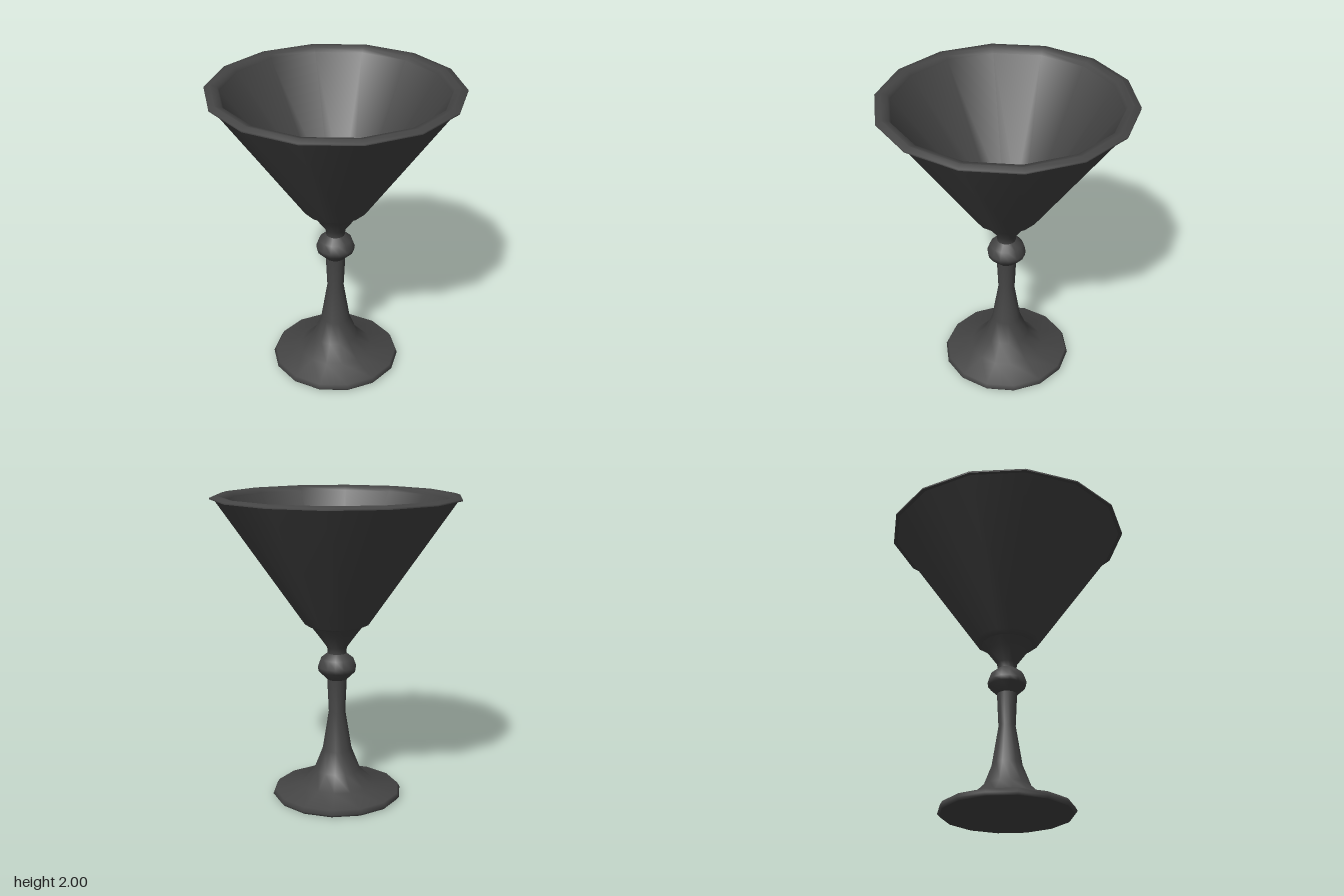
import * as THREE from 'three';

const SIDES = 14;

export function createModel() {
  const group = new THREE.Group();
  const material = new THREE.MeshStandardMaterial({ color: 0x444444 });

  // Each part is a turned profile of [radius, height] points; separate parts keep the edges between them sharp.
  const turn = (name, profile) => {
    const points = profile.map(([r, y]) => new THREE.Vector2(r, y));
    const mesh = new THREE.Mesh(new THREE.LatheGeometry(points, SIDES), material);
    mesh.name = name;
    group.add(mesh);
  };

  // Foot underside
  turn('footBase', [[0, 0], [0.415, 0]]);

  // Foot sweeping up into the stem
  turn('footAndStem', [
    [0.415, 0], [0.43, 0.018], [0.415, 0.045], [0.245, 0.088], [0.152, 0.18],
    [0.097, 0.32], [0.055, 0.58], [0.065, 0.8],
  ]);

  // Ball in the stem
  turn('stemBall', [
    [0.065, 0.8], [0.122, 0.855], [0.127, 0.885], [0.108, 0.938], [0.062, 0.975],
  ]);

  // Flare under the bowl
  turn('bowlNeck', [
    [0.062, 0.975], [0.065, 1.015], [0.13, 1.105], [0.168, 1.153],
  ]);

  // Bowl outside
  turn('bowlOutside', [[0.168, 1.153], [0.21, 1.172], [0.77, 1.978]]);

  // Projecting rim: underside, edge and top
  turn('rimUnderside', [[0.77, 1.978], [0.795, 1.978]]);
  turn('rimEdge', [[0.795, 1.978], [0.795, 1.988], [0.755, 2]]);
  turn('rimTop', [[0.795, 1.988], [0.755, 2], [0.715, 1.99], [0.7, 1.965]]);

  // Bowl inside, down to the flat floor
  turn('bowlInside', [[0.7, 1.965], [0.18, 1.21]]);
  turn('bowlFloor', [[0.18, 1.21], [0.14, 1.19], [0, 1.185]]);

  return group;
}
